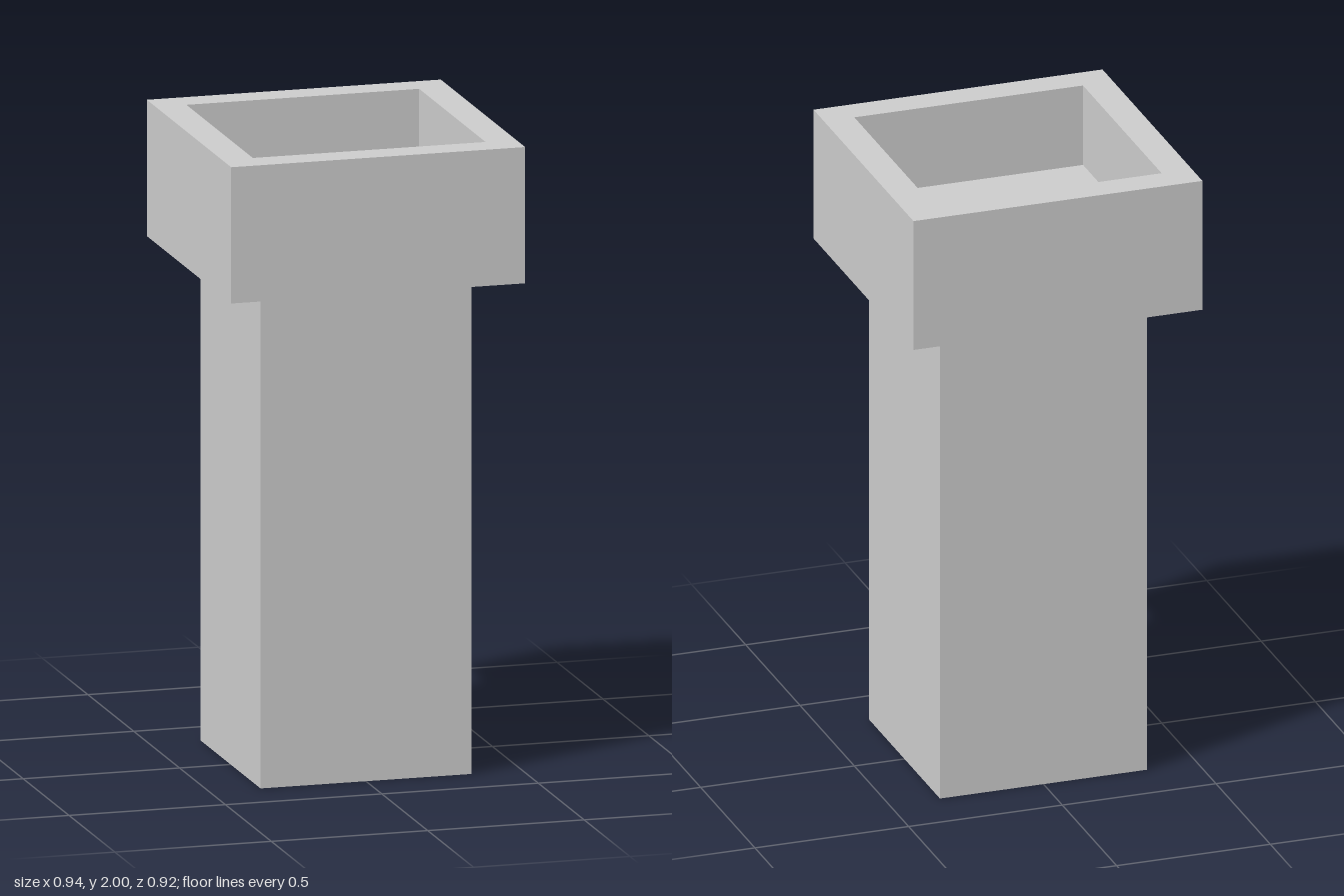
import * as THREE from 'three';

const material = new THREE.MeshStandardMaterial({ color: 0xcccccc, flatShading: true });
const corners = [[1, 1], [1, -1], [-1, -1], [-1, 1]];

// Joins rectangular sections [y, halfWidth, halfDepth] into one sharp-edged surface.
function rectLoft(name, sections) {
  const positions = [];
  const point = ([y, w, d], i) => [corners[i % 4][0] * w, y, corners[i % 4][1] * d];
  for (let s = 0; s < sections.length - 1; s++) {
    for (let i = 0; i < 4; i++) {
      const a = point(sections[s], i), b = point(sections[s], i + 1);
      const c = point(sections[s + 1], i + 1), d = point(sections[s + 1], i);
      positions.push(...a, ...b, ...c, ...a, ...c, ...d);
    }
  }
  const geometry = new THREE.BufferGeometry();
  geometry.setAttribute('position', new THREE.Float32BufferAttribute(positions, 3));
  geometry.computeVertexNormals();
  const mesh = new THREE.Mesh(geometry, material);
  mesh.name = name;
  return mesh;
}

export function createModel() {
  const group = new THREE.Group();
  group.name = 'pillar';

  const capBase = 1.57, top = 2, recessFloor = 1.735;
  const shaft = [0.337, 0.327], outer = [0.47, 0.46], inner = [0.372, 0.362];

  // Shaft: closed at the bottom, its top meets the cap
  group.add(rectLoft('shaft', [[0, 0, 0], [0, ...shaft], [capBase, ...shaft]]));

  // Cap: underside, outer walls, rim, recess walls and recess floor
  group.add(rectLoft('cap', [
    [capBase, ...shaft],
    [capBase, ...outer],
    [top, ...outer],
    [top, ...inner],
    [recessFloor, ...inner],
    [recessFloor, 0, 0],
  ]));

  return group;
}
